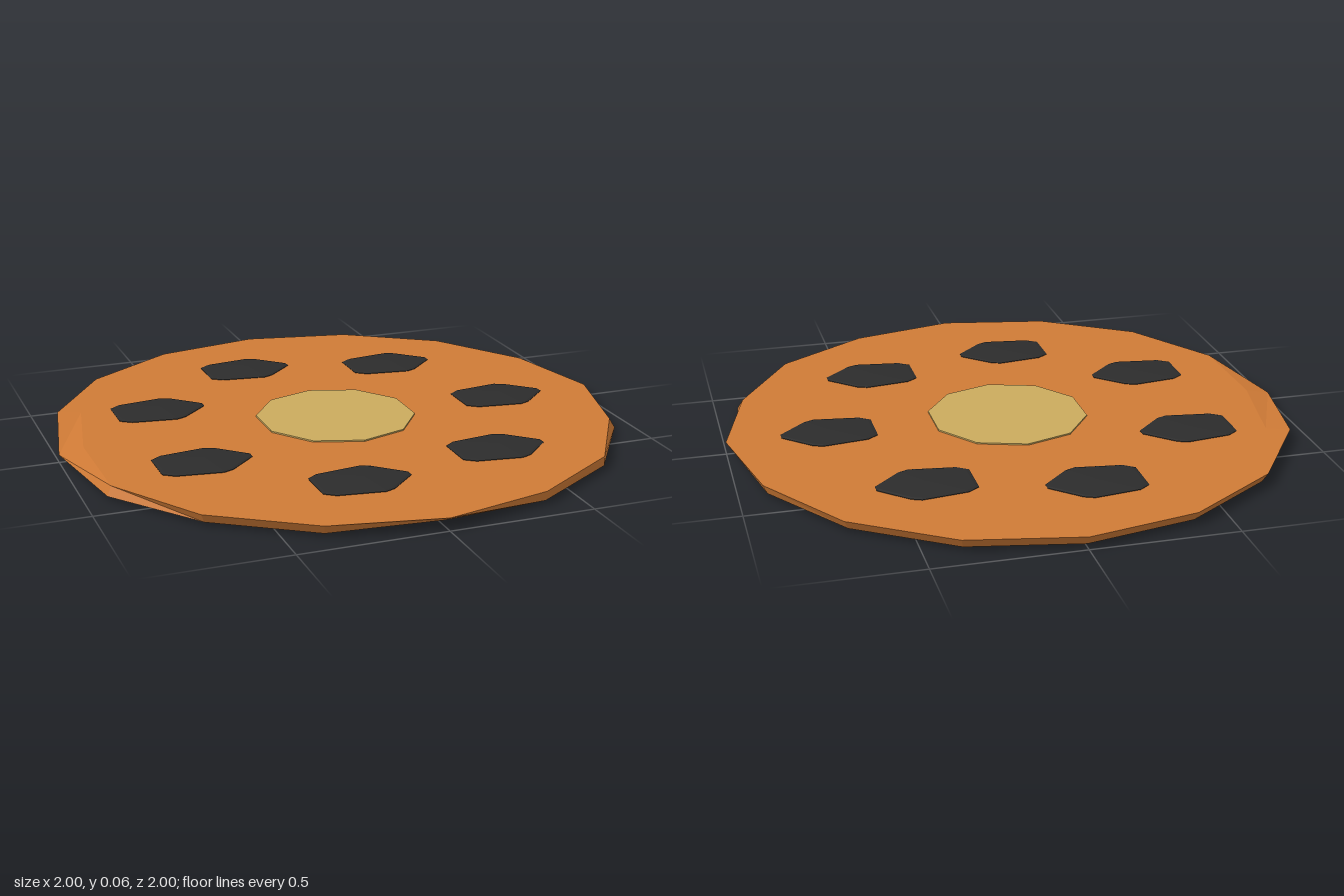
import * as THREE from 'three';

const orange = new THREE.MeshStandardMaterial({ color: 0xd07b36 });
orange.name = 'orange';
const charcoal = new THREE.MeshStandardMaterial({ color: 0x2c2c2c });
charcoal.name = 'charcoal';
const tan = new THREE.MeshStandardMaterial({ color: 0xcbab5e });
tan.name = 'tan';

// Faceted skin over rings of [x, y, z] points, listed from bottom to top.
function loft(rings) {
  const pos = [];
  const same = (p, q) => p.every((v, k) => v === q[k]);
  const tri = (a, b, c) => {
    if (!same(a, b) && !same(b, c) && !same(a, c)) pos.push(...a, ...b, ...c);
  };
  for (let r = 0; r < rings.length - 1; r++) {
    const lo = rings[r], hi = rings[r + 1], n = lo.length;
    for (let i = 0; i < n; i++) {
      const j = (i + 1) % n;
      tri(lo[i], hi[i], hi[j]);
      tri(lo[i], hi[j], lo[j]);
    }
  }
  const geo = new THREE.BufferGeometry();
  geo.setAttribute('position', new THREE.Float32BufferAttribute(pos, 3));
  geo.computeVertexNormals();
  return geo;
}

// Ring of n points; radius and height may depend on the point's index.
function ring(n, radius, height) {
  return Array.from({ length: n }, (_, i) => {
    const a = (i / n) * Math.PI * 2;
    return [Math.cos(a) * radius(i), height(i), Math.sin(a) * radius(i)];
  });
}

function part(name, geometry, material) {
  const mesh = new THREE.Mesh(geometry, material);
  mesh.name = name;
  return mesh;
}

export function createModel() {
  const group = new THREE.Group();
  group.name = 'spottedDisc';

  // Sixteen-sided disc with a slightly uneven rim
  const topR = { 1: 0.975, 2: 0.99, 3: 0.985, 7: 0.985, 15: 0.995 };
  const bottomR = { 0: 0.97, 1: 0.995, 2: 0.99, 4: 0.96, 7: 1, 8: 0.97 };
  const topY = { 8: 0.028 };
  const bottomY = { 4: 0.022, 8: 0.021 };
  const N = 16;
  const disc = loft([
    ring(N, () => 0, () => 0.01),
    ring(N, () => 0.915, () => 0.01),
    ring(N, i => bottomR[i] ?? 0.98, i => bottomY[i] ?? 0.012),
    ring(N, i => topR[i] ?? 1, i => topY[i] ?? 0.045),
    ring(N, () => 0.915, () => 0.045),
    ring(N, () => 0, () => 0.045),
  ]);
  group.add(part('disc', disc, orange));

  // Ten-sided centre plate
  const centre = loft([
    ring(10, () => 0.284, () => 0.042),
    ring(10, () => 0.284, () => 0.05),
    ring(10, () => 0, () => 0.05),
  ]);
  centre.rotateY(Math.PI / 10);
  group.add(part('centrePlate', centre, tan));

  // Sliver of the centre showing through the underside
  const sliver = [[0.28, 0.02], [0.28, 0.095], [0.085, 0.04]];
  const mid = [0.215, 0.052];
  group.add(part('centreUnderside', loft([
    sliver.map(() => [mid[0], 0.008, mid[1]]),
    sliver.map(([x, z]) => [x, 0.008, z]),
    sliver.map(([x, z]) => [x, 0.012, z]),
  ]), tan));

  // Spots: the same pointed pebble, each poking through below by its own amount
  const half = [[0.16, 0.014], [0.065, 0.105], [0.03, 0.12], [-0.13, 0.098], [-0.168, 0.07]];
  const outline = [...half, ...half.map(([x, z]) => [x, -z]).reverse()];
  // x, z, scale of the lower face
  const spots = [
    [0.65, 0, 0.75],
    [0.41, 0.495, 0.58],
    [-0.132, 0.615, 0.6],
    [-0.565, 0.275, 0.33],
    [-0.57, -0.278, 0.56],
    [-0.13, -0.622, 0.83],
    [0.41, -0.5, 0.4],
  ];
  for (const [x, z, low] of spots) {
    const layer = (s, y) => outline.map(([px, pz]) => [px * s, y, pz * s]);
    const spot = part('spot', loft([
      layer(0, 0.001),
      layer(low, 0.006),
      layer(0.97, 0.034),
      layer(1, 0.047),
      layer(0.93, 0.05),
      layer(0, 0.058),
    ]), charcoal);
    spot.position.set(x, 0, z);
    group.add(spot);
  }
  return group;
}
